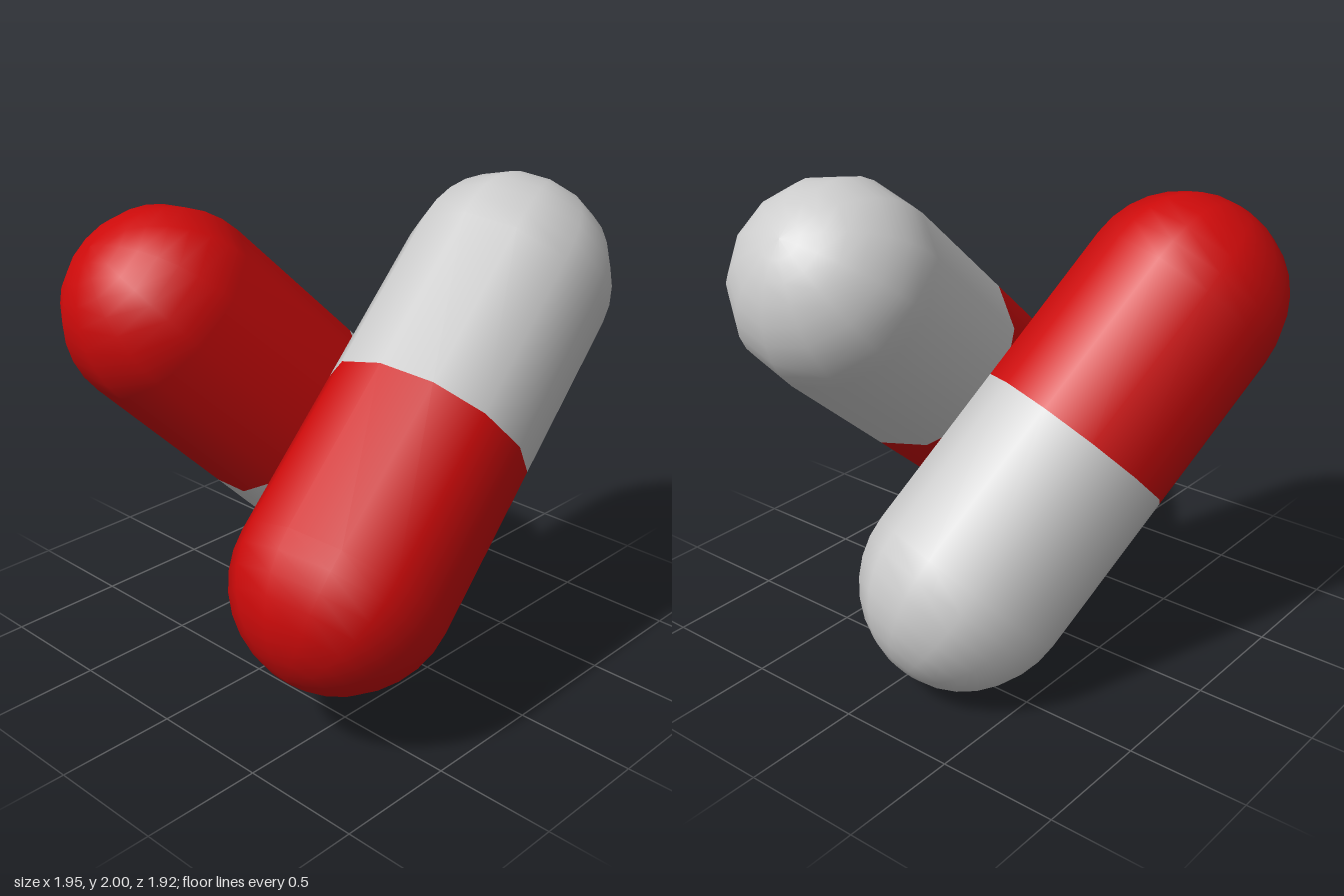
import * as THREE from 'three';

const RADIUS = 0.433, SIDES = 12, RINGS = 8;
const red = new THREE.MeshStandardMaterial({ color: 0xcc0a0a });
const grey = new THREE.MeshStandardMaterial({ color: 0xcccccc });

// Half a capsule along y: open at y = 0, domed at the far end (sign = +1 up, -1 down)
function halfCapsule(name, sign, halfLength, spin, material) {
  const points = [new THREE.Vector2(RADIUS, 0)];
  for (let i = 0; i <= RINGS; i++) {
    const a = (i / RINGS) * Math.PI / 2;
    const x = i === RINGS ? 0 : RADIUS * Math.cos(a);
    points.push(new THREE.Vector2(x, sign * (halfLength + RADIUS * Math.sin(a))));
  }
  if (sign < 0) points.reverse(); // profile always runs upwards so faces point out
  const mesh = new THREE.Mesh(new THREE.LatheGeometry(points, SIDES, spin, Math.PI * 2), material);
  mesh.name = name;
  return mesh;
}

// Two-tone capsule between the centres of its red and grey domes
function capsule(name, redEnd, greyEnd, spin) {
  const from = new THREE.Vector3(...redEnd), to = new THREE.Vector3(...greyEnd);
  const axis = to.clone().sub(from);
  const half = axis.length() / 2;
  axis.normalize();
  const depth = new THREE.Vector3(0, 0, 1).addScaledVector(axis, -axis.z).normalize();
  const side = new THREE.Vector3().crossVectors(axis, depth);

  const group = new THREE.Group();
  group.name = name;
  group.add(halfCapsule('redHalf', -1, half, spin, red), halfCapsule('greyHalf', 1, half, spin, grey));
  group.quaternion.setFromRotationMatrix(new THREE.Matrix4().makeBasis(side, axis, depth));
  group.position.copy(from).add(to).multiplyScalar(0.5);
  return group;
}

export function createModel() {
  const model = new THREE.Group();
  model.name = 'capsules';
  model.add(
    capsule('frontCapsule', [-0.545, 0.65, 0.53], [0.54, 1.567, 0.405], 0),
    capsule('backCapsule', [-0.46, 1.45, -0.54], [0.49, 0.433, -0.19], THREE.MathUtils.degToRad(18)),
  );
  return model;
}
